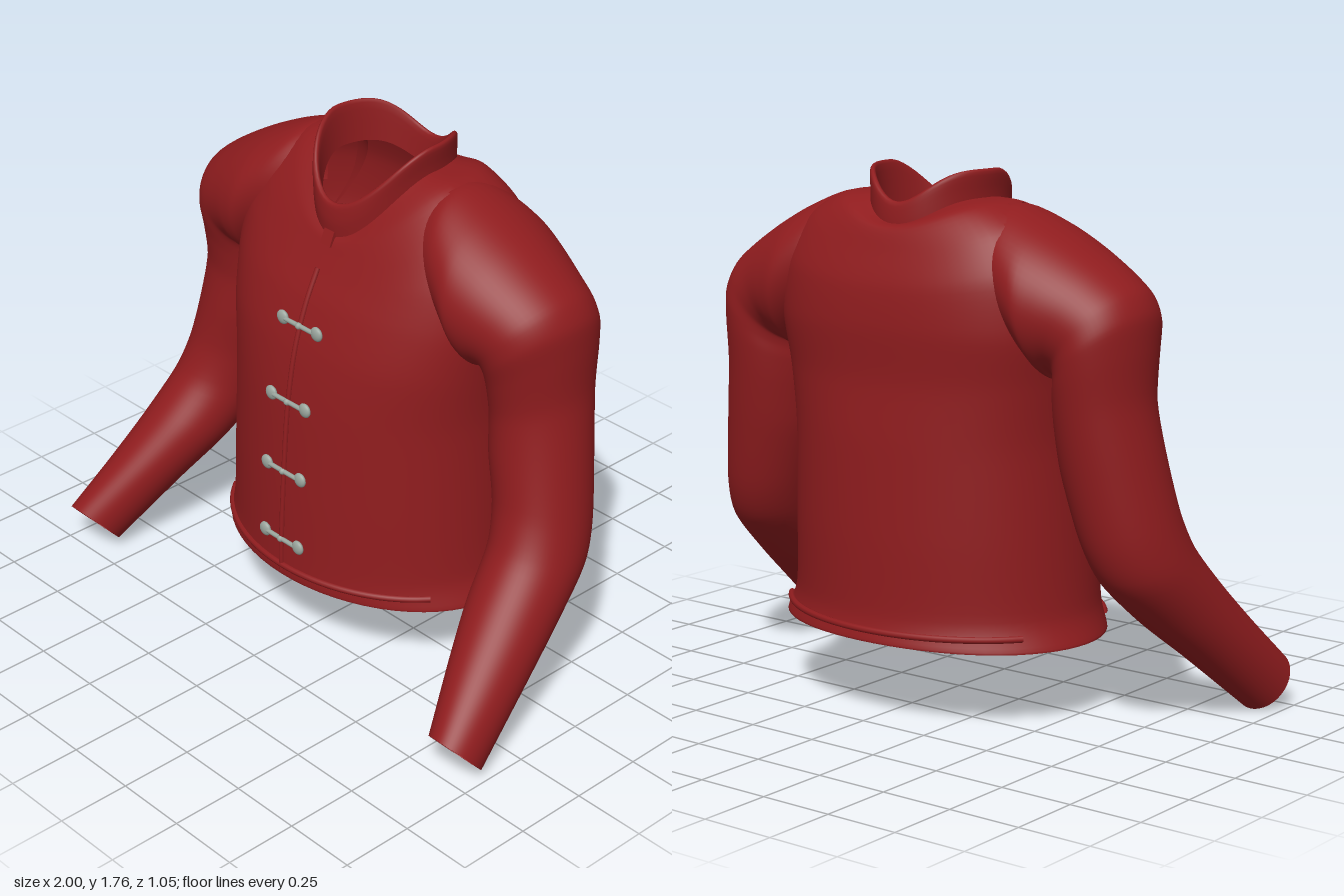
import * as THREE from 'three';

const SIDES = 64;

// Skin through closed rings of points, smoothed along the length; "hole" tells which faces to leave out
function loft(rings, steps, material, name, hole = () => false) {
  const n = rings[0].length, rows = (rings.length - 1) * steps + 1;
  const points = [], idx = [];
  const columns = rings[0].map((_, j) =>
    new THREE.CatmullRomCurve3(rings.map(r => r[j]), false, 'catmullrom', 0.4));
  for (let i = 0; i < rows; i++) {
    for (const c of columns) points.push(c.getPoint(i / (rows - 1)));
  }
  for (let i = 0; i < rows - 1; i++) {
    for (let j = 0; j < n; j++) {
      const a = i * n + j, b = i * n + (j + 1) % n;
      if (hole(points[a])) continue;
      idx.push(a, a + n, b, b, a + n, b + n);
    }
  }
  const g = new THREE.BufferGeometry().setFromPoints(points);
  g.setIndex(idx);
  g.computeVertexNormals();
  const m = new THREE.Mesh(g, material);
  m.name = name;
  return m;
}

// Horizontal ring whose height differs at front, sides and back; a low bend makes it boxier
function bodyRing([yf, ys, yb, hw, zf, zb, bend = 1], backPower) {
  const zc = (zf + zb) / 2, hz = (zf - zb) / 2;
  const soften = v => Math.sign(v) * Math.abs(v) ** bend;
  return Array.from({ length: SIDES }, (_, j) => {
    const t = j / SIDES * Math.PI * 2, s = Math.sin(t);
    const y = ys + (s > 0 ? (yf - ys) * s ** 2 : (yb - ys) * (-s) ** backPower);
    return new THREE.Vector3(hw * soften(Math.cos(t)), y, zc + hz * soften(s));
  });
}

// Tilted ring from inner/outer (x, y) and front/back (z, y) points
function sleeveRing([xi, yi, xo, yo, zf, yf, zb, yb], scale = 1) {
  const c = new THREE.Vector3((xi + xo) / 2, (yi + yo) / 2, (zf + zb) / 2);
  const A = new THREE.Vector3((xo - xi) / 2, (yo - yi) / 2, 0);
  const B = new THREE.Vector3(0, (yb - yf) / 2, (zb - zf) / 2);
  return Array.from({ length: SIDES }, (_, j) => {
    const t = j / SIDES * Math.PI * 2;
    return c.clone().addScaledVector(A, scale * Math.cos(t)).addScaledVector(B, scale * Math.sin(t));
  });
}

// Slanted oval opening in the body where the sleeve begins
function armhole(p) {
  const dx = Math.abs(p.x) - 0.38, dy = p.y - 1.38;
  const along = 0.86 * dy - 0.51 * dx, out = 0.86 * dx + 0.51 * dy;
  return out > 0.03 && (along / 0.26) ** 2 + ((p.z + 0.12) / 0.17) ** 2 < 1;
}

function tube(points, radius, material, name) {
  const curve = new THREE.CatmullRomCurve3(points);
  const m = new THREE.Mesh(new THREE.TubeGeometry(curve, 48, radius, 8), material);
  m.name = name;
  return m;
}

export function createModel() {
  const model = new THREE.Group();
  model.name = 'jacket';
  const cloth = new THREE.MeshStandardMaterial({ color: 0x8f1c1e, side: THREE.DoubleSide });
  cloth.name = 'red cloth';
  const metal = new THREE.MeshStandardMaterial({ color: 0x9aa59d });
  metal.name = 'grey fastening';

  // Body, from the turned-in hem up to the neck
  const body = [
    [0.30, 0.30, 0.30, 0.535, 0.35, -0.48],
    [0.27, 0.262, 0.272, 0.575, 0.37, -0.515],
    [0.36, 0.36, 0.36, 0.542, 0.368, -0.495],
    [0.60, 0.60, 0.60, 0.53, 0.355, -0.49, 0.97],
    [0.90, 0.90, 0.90, 0.522, 0.33, -0.475, 0.92],
    [1.10, 1.10, 1.10, 0.537, 0.295, -0.457, 0.85],
    [1.25, 1.27, 1.27, 0.555, 0.245, -0.46, 0.82],
    [1.34, 1.45, 1.40, 0.535, 0.20, -0.445, 0.82],
    [1.40, 1.585, 1.50, 0.46, 0.17, -0.41, 0.88],
    [1.44, 1.66, 1.58, 0.33, 0.15, -0.375, 0.95],
    [1.47, 1.67, 1.59, 0.215, 0.125, -0.32],
  ].map(r => bodyRing(r, 4));
  model.add(loft(body, 6, cloth, 'body', armhole));

  // Standing collar, low at the front and the back
  const collar = [
    [1.44, 1.62, 1.54, 0.215, 0.14, -0.335],
    [1.50, 1.69, 1.60, 0.218, 0.144, -0.333],
    [1.555, 1.752, 1.65, 0.225, 0.137, -0.325],
    [1.555, 1.75, 1.65, 0.208, 0.118, -0.305],
    [1.46, 1.62, 1.55, 0.198, 0.105, -0.295],
  ].map(r => bodyRing(r, 5));
  model.add(loft(collar, 4, cloth, 'collar'));
  const tab = new THREE.Mesh(new THREE.BoxGeometry(0.045, 0.05, 0.02), cloth);
  tab.name = 'collarTab';
  tab.position.set(0, 1.445, 0.147);
  tab.rotation.x = -0.4;
  model.add(tab);

  // Sleeve, growing out of the shoulder, fanning around the armpit and bending at the elbow
  const sleeve = [
    [0.53, 1.13, 0.23, 1.635, 0.09, 1.38, -0.335, 1.38],
    [0.53, 1.12, 0.335, 1.66, 0.115, 1.38, -0.362, 1.38],
    [0.53, 1.12, 0.46, 1.615, 0.138, 1.36, -0.38, 1.36],
    [0.53, 1.12, 0.58, 1.555, 0.132, 1.33, -0.366, 1.33],
    [0.53, 1.13, 0.70, 1.482, 0.115, 1.30, -0.345, 1.30],
    [0.535, 1.13, 0.782, 1.418, 0.10, 1.27, -0.335, 1.27],
    [0.535, 1.11, 0.82, 1.345, 0.088, 1.22, -0.335, 1.22],
    [0.53, 1.07, 0.826, 1.24, 0.068, 1.15, -0.33, 1.16],
    [0.53, 0.99, 0.828, 1.08, 0.05, 1.03, -0.315, 1.04],
    [0.54, 0.85, 0.86, 0.89, 0.06, 0.88, -0.29, 0.85],
    [0.585, 0.67, 0.90, 0.68, 0.08, 0.72, -0.25, 0.62],
    [0.62, 0.54, 0.925, 0.55, 0.13, 0.60, -0.19, 0.49],
    [0.66, 0.40, 0.948, 0.40, 0.25, 0.46, -0.03, 0.34],
    [0.725, 0.265, 0.97, 0.265, 0.38, 0.32, 0.13, 0.21],
    [0.815, 0.083, 1.0, 0.083, 0.528, 0.165, 0.382, 0.002],
  ];
  const cuff = sleeve[sleeve.length - 1], forearm = sleeve[sleeve.length - 2];
  for (const [side, name] of [[1, 'leftSleeve'], [-1, 'rightSleeve']]) {
    const arm = new THREE.Group();
    arm.name = name;
    arm.scale.x = side;
    arm.add(loft(sleeve.map(r => sleeveRing(r)), 5, cloth, name + 'Outside'));
    // Cuff edge and lining
    arm.add(loft([sleeveRing(cuff), sleeveRing(cuff, 0.84)], 1, cloth, name + 'CuffEdge'));
    arm.add(loft([sleeveRing(cuff, 0.84), sleeveRing(forearm, 0.86)], 2, cloth, name + 'Lining'));
    model.add(arm);
  }

  // Front closing seam
  const seam = [[0.29, 0.37], [0.36, 0.37], [0.6, 0.357], [0.9, 0.332],
    [1.1, 0.297], [1.25, 0.247], [1.355, 0.197]];
  model.add(tube(seam.map(([y, z]) => new THREE.Vector3(0, y, z)), 0.009, cloth, 'frontSeam'));

  // Hem cords along the front and the back
  for (const [zEnd, name] of [[0.37, 'frontHemCord'], [-0.51, 'backHemCord']]) {
    const pts = [];
    for (let i = 0; i <= 24; i++) {
      const a = (i / 24 * 2 - 1) * 1.04;
      pts.push(new THREE.Vector3(0.56 * Math.sin(a), 0.31, -0.07 + (zEnd + 0.07) * Math.cos(a)));
    }
    model.add(tube(pts, 0.011, cloth, name));
  }

  // Fastenings: a bar with a knob at each end and a small centre knot
  const knob = new THREE.SphereGeometry(0.025, 16, 12);
  const bar = new THREE.CylinderGeometry(0.008, 0.008, 0.16, 10).rotateZ(Math.PI / 2);
  const knot = new THREE.SphereGeometry(0.012, 12, 8);
  [[0.412, 0.366], [0.667, 0.352], [0.919, 0.328], [1.177, 0.274]].forEach(([y, z], i) => {
    const clasp = new THREE.Group();
    clasp.name = 'fastening' + (i + 1);
    clasp.position.set(0, y, z);
    const add = (geometry, name, x, dz) => {
      const m = new THREE.Mesh(geometry, metal);
      m.name = name;
      m.position.set(x, 0, dz);
      clasp.add(m);
      return m;
    };
    add(bar, 'bar', 0, 0.006);
    add(knot, 'knot', 0, 0.007);
    for (const s of [-1, 1]) add(knob, 'knob', s * 0.08, 0.003).scale.z = 0.5;
    model.add(clasp);
  });

  return model;
}
